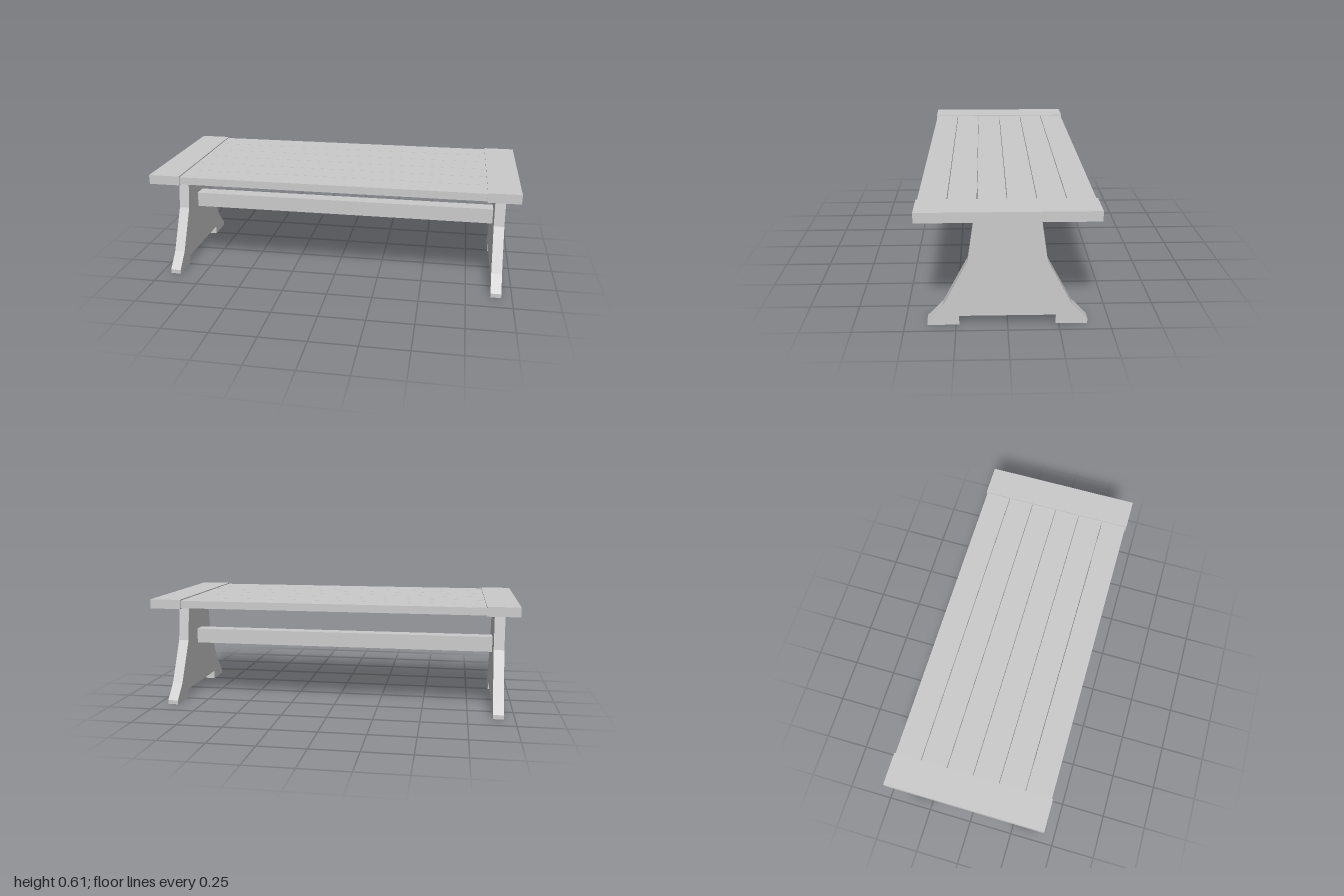
import * as THREE from 'three';

const material = new THREE.MeshStandardMaterial({ color: 0xcccccc, flatShading: true });

function addMesh(parent, name, geometry, x, y, z) {
  const mesh = new THREE.Mesh(geometry, material);
  mesh.name = name;
  mesh.position.set(x, y, z);
  parent.add(mesh);
  return mesh;
}

export function createModel() {
  const table = new THREE.Group();
  table.name = 'trestleTable';

  // Top: six lengthwise planks with hairline gaps
  const top = new THREE.Group();
  top.name = 'tableTop';
  table.add(top);
  const count = 6, topDepth = 0.852, gap = 0.003;
  const pitch = (topDepth + gap) / count;
  for (let i = 0; i < count; i++) {
    const z = (i - (count - 1) / 2) * pitch;
    addMesh(top, 'plank', new THREE.BoxGeometry(1.656, 0.041, pitch - gap), 0, 0.584, z);
  }

  // Leg outline: half profile (z, y), mirrored to the other side
  const half = [[0.235, 0.048], [0.235, 0], [0.39, 0], [0.39, 0.023], [0.312, 0.105], [0.19, 0.336], [0.157, 0.56]];
  const mirrored = half.map(([z, y]) => [-z, y]).reverse();
  const outline = new THREE.Shape([...half, ...mirrored].map(([z, y]) => new THREE.Vector2(z, y)));
  const legWidth = 0.058;
  const legGeometry = new THREE.ExtrudeGeometry(outline, { depth: legWidth, bevelEnabled: false });
  legGeometry.translate(0, 0, -legWidth / 2).rotateY(Math.PI / 2);

  // End boards and legs at both ends
  for (const side of [1, -1]) {
    addMesh(top, 'endBoard', new THREE.BoxGeometry(0.172, 0.051, 0.864), side * 0.914, 0.5845, 0);
    addMesh(table, 'leg', legGeometry, side * 0.913, 0, 0);
  }

  // Stretcher joining the legs
  addMesh(table, 'stretcher', new THREE.BoxGeometry(1.77, 0.086, 0.08), 0, 0.337, 0);

  return table;
}
